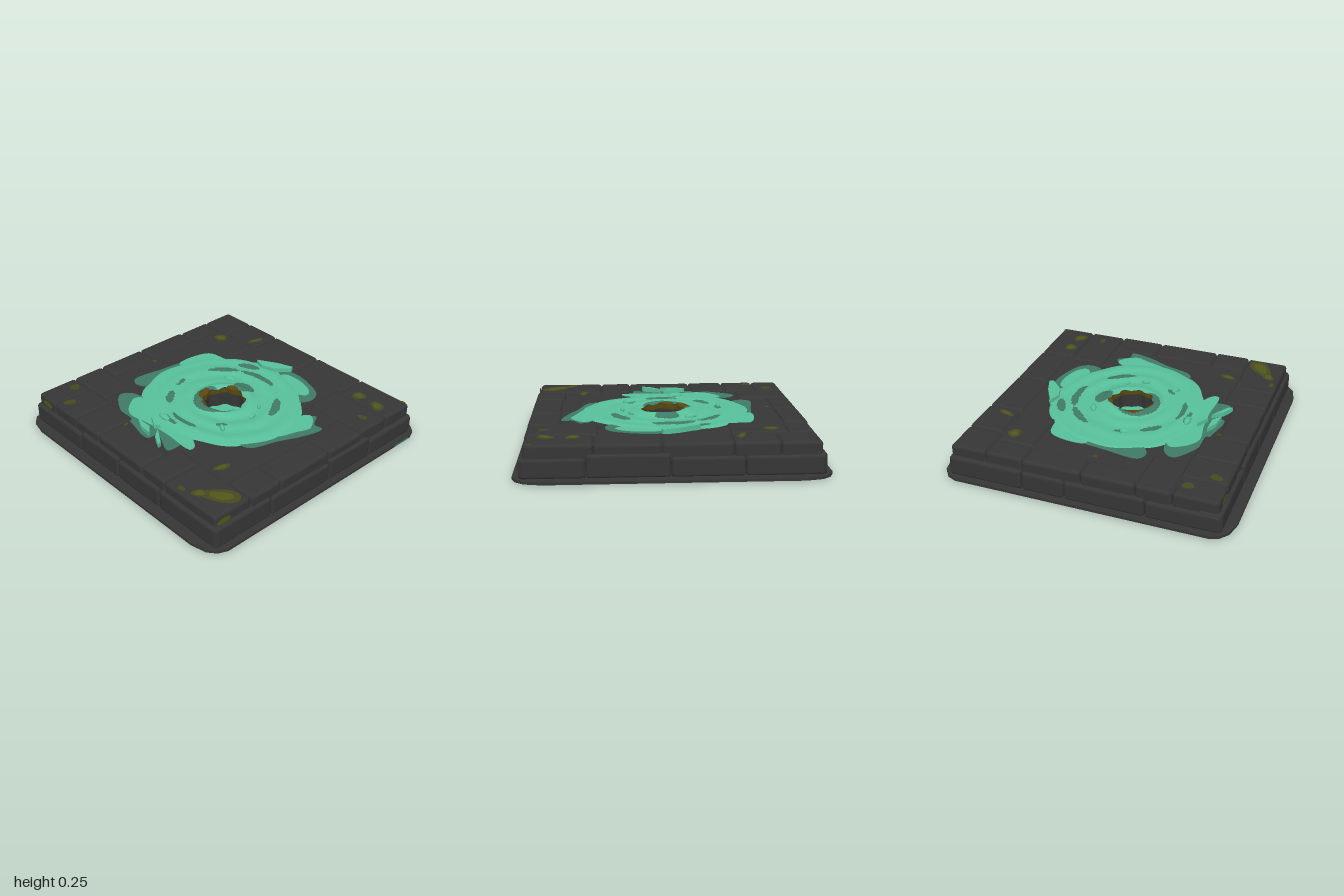
import * as THREE from 'three';
import { RoundedBoxGeometry } from 'three/addons/geometries/RoundedBoxGeometry.js';

export function createModel() {
  const root = new THREE.Group();
  const mat = (name, color) => {
    const m = new THREE.MeshStandardMaterial({ color, side: THREE.DoubleSide });
    m.name = name;
    return m;
  };
  const stone = mat('dark stone', 0x363637);
  const green = mat('bright green', 0x57c09a);
  const darkGreen = mat('dark green', 0x3f7a66);
  const moss = mat('moss olive', 0x474a1f);
  const lightMoss = mat('light moss', 0x52571c);
  const brown = mat('rust brown', 0x58480f);

  let seed = 7;
  const rnd = () => (seed = (seed * 16807) % 2147483647) / 2147483647;
  const add = (name, geo, m, x = 0, y = 0, z = 0) => {
    const mesh = new THREE.Mesh(geo, m);
    mesh.name = name;
    mesh.position.set(x, y, z);
    root.add(mesh);
    return mesh;
  };

  // Shapes are drawn in (x, z); the extrusion rises from y0 to y1
  const shapeOf = (pts) => new THREE.Shape(pts.map(([x, z]) => new THREE.Vector2(x, -z)));
  const slab = (name, shape, y0, y1, m) => {
    const g = new THREE.ExtrudeGeometry(shape, { depth: y1 - y0, bevelEnabled: false, curveSegments: 32 });
    return add(name, g.rotateX(-Math.PI / 2), m, 0, y0, 0);
  };
  // Rounds a few corner points into a soft closed outline
  const soft = (pts) => new THREE.CatmullRomCurve3(pts.map(([x, z]) => new THREE.Vector3(x, 0, z)), true, 'centripetal')
    .getPoints(60).slice(0, -1).map((p) => [p.x, p.z]);
  // Irregular oval outline, kept within the foot plate
  const blob = (cx, cz, rx, rz, turn = 0, wob = 0.1, n = 48) => {
    const out = [], p = rnd() * 6, keep = (v) => THREE.MathUtils.clamp(v, -0.98, 0.98);
    for (let i = 0; i < n; i++) {
      const a = (i / n) * Math.PI * 2;
      const k = 1 + wob * (Math.sin(2 * a + p) * 0.5 + Math.sin(3 * a + 2 * p) * 0.5);
      const x = Math.cos(a) * rx * k, z = Math.sin(a) * rz * k;
      out.push([keep(cx + x * Math.cos(turn) - z * Math.sin(turn)), keep(cz + x * Math.sin(turn) + z * Math.cos(turn))]);
    }
    return out;
  };
  const paint = (name, pts, y, m) => add(name, new THREE.ShapeGeometry(shapeOf(pts)).rotateX(-Math.PI / 2), m, 0, y, 0);

  // Thin foot plate with cut corners
  const corner = [[0.99, 0.86], [0.965, 0.92], [0.91, 0.965], [0.8, 0.99]];
  const outline = [
    ...corner, ...corner.map(([x, z]) => [-x, z]).reverse(),
    ...corner.map(([x, z]) => [-x, -z]), ...corner.map(([x, z]) => [x, -z]).reverse(),
  ];
  slab('footPlate', shapeOf(outline), 0.004, 0.022, stone);

  // Core with a round pit
  const core = shapeOf([[-0.9, -0.88], [0.9, -0.88], [0.9, 0.87], [-0.9, 0.87]]);
  core.holes.push(new THREE.Path().absarc(0.02, 0, 0.155, 0, Math.PI * 2, true));
  slab('core', core, 0.02, 0.217, stone);

  // Top paving stones: x0, x1, z0, z1
  const stones = [
    [-0.92, -0.66, -0.91, -0.66], [-0.66, -0.37, -0.91, -0.67], [-0.37, 0.07, -0.91, -0.66],
    [0.07, 0.49, -0.91, -0.68], [0.49, 0.92, -0.91, -0.66],
    [-0.92, -0.75, -0.66, -0.4], [-0.75, -0.38, -0.66, -0.4], [0.46, 0.92, -0.66, -0.4],
    [-0.93, -0.76, -0.4, 0.0], [-0.93, -0.76, 0.0, 0.36],
    [0.71, 0.93, -0.4, -0.08], [0.72, 0.93, -0.08, 0.36], [0.71, 0.93, 0.36, 0.61],
    [-0.93, -0.56, 0.36, 0.6], [-0.93, -0.73, 0.6, 0.9], [-0.73, -0.49, 0.59, 0.9],
    [-0.49, -0.23, 0.6, 0.9], [-0.23, 0.23, 0.68, 0.9], [0.23, 0.45, 0.6, 0.9], [0.45, 0.92, 0.61, 0.9],
  ];
  for (const [x0, x1, z0, z1] of stones) {
    const top = 0.229 + rnd() * 0.003, h = top - 0.1;
    add('pavingStone', new RoundedBoxGeometry(x1 - x0 - 0.004, h, z1 - z0 - 0.004, 3, 0.022), stone,
      (x0 + x1) / 2, top - h / 2, (z0 + z1) / 2);
  }

  // Lower course around the sides
  for (let side = 0; side < 4; side++) {
    const cuts = [-0.94, -0.5 + rnd() * 0.1, -0.12 + rnd() * 0.15, 0.4 + rnd() * 0.15, 0.94];
    const s = side % 2 ? -1 : 1, alongX = side < 2;
    for (let i = 0; i < 4; i++) {
      const len = cuts[i + 1] - cuts[i] - 0.004, mid = (cuts[i] + cuts[i + 1]) / 2;
      const h = 0.115 + rnd() * 0.045;
      const geo = new RoundedBoxGeometry(alongX ? len : 0.16, h, alongX ? 0.16 : len * 0.975, 3, 0.022);
      add('sideStone', geo, stone, alongX ? mid : s * 0.867, 0.015 + h / 2, alongX ? s * 0.843 : mid * 0.975);
    }
  }

  // Flat spill patches around the pool
  const spills = [
    [[0.02, -0.6], [0.12, -0.63], [0.3, -0.59], [0.39, -0.54], [0.42, -0.45], [0.36, -0.36], [0.1, -0.4]],
    [[0.5, -0.22], [0.58, -0.33], [0.64, -0.25], [0.71, -0.25], [0.68, -0.1], [0.61, 0.06], [0.53, 0.26], [0.4, 0.26]],
    [[-0.57, -0.15], [-0.61, 0.05], [-0.63, 0.28], [-0.56, 0.31], [-0.45, 0.2]],
    [[-0.5, 0.41], [-0.54, 0.48], [-0.4, 0.59], [-0.2, 0.64], [0.0, 0.67], [0.02, 0.6], [0.2, 0.66], [0.16, 0.45], [-0.3, 0.38]],
  ];
  spills.forEach((p) => slab('darkSpill', shapeOf(soft(p)), 0.212, 0.2205, darkGreen));
  const splashes = [
    [[0.05, -0.56], [0.2, -0.58], [0.34, -0.52], [0.35, -0.47], [0.1, -0.4]],
    [[0.48, -0.2], [0.55, -0.31], [0.65, -0.2], [0.62, -0.1], [0.56, 0.05], [0.45, 0.1]],
    [[-0.43, 0.42], [-0.4, 0.5], [-0.3, 0.58], [-0.12, 0.56], [0.05, 0.55], [0.29, 0.55], [0.29, 0.51], [0.1, 0.42], [-0.3, 0.36]],
    [[-0.55, -0.36], [-0.35, -0.41], [-0.14, -0.56], [-0.1, -0.4], [-0.4, -0.2], [-0.58, -0.1]],
  ];
  splashes.forEach((p) => slab('splash', shapeOf(soft(p)), 0.212, 0.222, green));
  // Raised splinters
  const splinters = [
    [[-0.2, -0.53], [-0.06, -0.61], [0.05, -0.65], [0.06, -0.62], [-0.03, -0.53], [-0.12, -0.5]],
    [[-0.18, 0.6], [-0.06, 0.6], [0.0, 0.65], [-0.1, 0.64]],
    [[0.0, 0.58], [0.13, 0.66], [0.14, 0.69], [0.06, 0.65]],
    [[-0.14, 0.52], [-0.02, 0.54], [-0.05, 0.57]],
  ];
  splinters.forEach((p) => slab('splinter', shapeOf(p), 0.215, 0.25, green));

  // Swirling pool: rings of points with a spiral ripple and a raised rim, lower towards +x
  const N = 180, M = 48, pos = [], idx = [[], [], []];
  const holeR = (a) => 0.143 + 0.008 * Math.cos(8 * a);
  for (let i = 0; i <= M; i++) {
    for (let j = 0; j < N; j++) {
      const a = (j / N) * Math.PI * 2, t = i / M;
      const R = 0.556 + 0.026 * Math.cos(2 * a) + 0.012 * Math.sin(3 * a + 1) + 0.005 * Math.sin(11 * a);
      const r = holeR(a) + (R - holeR(a)) * t;
      const low = 1 - 0.6 * Math.max(0, Math.cos(a)) ** 2;
      const rim = 0.023 * low * Math.exp(-(((r - 0.175) / 0.035) ** 2));
      const ripple = 0.004 * Math.sin(17 * t + a) * Math.min(1, t * 4) * (1 - t ** 6);
      const y = 0.2275 + rim + ripple - 0.01 * t ** 16;
      pos.push(0.02 - 0.03 * t + r * Math.cos(a), y, -0.015 * t + r * Math.sin(a));
    }
  }
  // Streaks: inner and outer radius, start and end angle in degrees from +x towards +z
  const rust = [[0.08, 0.172, 125, 182], [0.1, 0.165, 236, 270], [0.1, 0.162, 68, 118]];
  const dark = [
    [0, 0.205, 8, 205], [0.15, 0.265, 248, 292], [0.375, 0.425, 208, 240], [0.37, 0.425, 243, 286],
    [0.35, 0.41, 312, 345], [0.36, 0.4, 163, 178], [0.34, 0.395, 127, 150], [0.355, 0.395, 70, 106],
    [0.3, 0.335, 37, 51], [0.42, 0.45, 88, 106], [0.46, 0.52, 236, 256],
  ];
  const within = (list, r, deg) => list.some(([r0, r1, a0, a1]) => {
    const f = (deg - a0) / (a1 - a0);
    return f > 0 && f < 1 && Math.abs(r - (r0 + r1) / 2) < ((r1 - r0) / 2) * Math.sin(Math.PI * f) ** 0.35;
  });
  for (let i = 0; i < M; i++) {
    for (let j = 0; j < N; j++) {
      const k = (j + 1) % N, p = i * N + j, q = i * N + k, s = p + N, u = q + N;
      const x = (pos[3 * p] + pos[3 * u]) / 2, z = (pos[3 * p + 2] + pos[3 * u + 2]) / 2;
      const r = Math.hypot(x, z), deg = (THREE.MathUtils.radToDeg(Math.atan2(z, x)) + 360) % 360;
      idx[within(rust, r, deg) ? 2 : within(dark, r, deg) ? 1 : 0].push(p, q, s, q, u, s);
    }
  }
  const pool = new THREE.BufferGeometry();
  pool.setAttribute('position', new THREE.Float32BufferAttribute(pos, 3));
  pool.setIndex(idx.flat());
  let start = 0;
  idx.forEach((list, n) => {
    pool.addGroup(start, list.length, n);
    start += list.length;
  });
  pool.computeVertexNormals();
  add('swirlPool', pool, [green, darkGreen, brown]);

  // Scalloped wall of the pit, seen from inside
  const wall = (name, y0, y1, m) => {
    const g = new THREE.CylinderGeometry(1, 1, y1 - y0, 64, 1, true);
    const v = g.attributes.position;
    for (let i = 0; i < v.count; i++) {
      const a = Math.atan2(v.getZ(i), v.getX(i)), r = holeR(a);
      v.setXYZ(i, r * Math.cos(a), v.getY(i), r * Math.sin(a));
    }
    g.computeVertexNormals();
    add(name, g, m, 0.02, (y0 + y1) / 2, 0);
  };
  wall('pitRim', 0.2, 0.232, brown);
  wall('pitWall', 0.08, 0.2, stone);
  add('pitFloor', new THREE.CircleGeometry(0.153, 48).rotateX(-Math.PI / 2), green, 0.02, 0.1, 0);

  // Droplets frozen in the pool
  for (const [x, z, s, turn] of [[-0.16, -0.22, 0.045, -0.4], [0.24, -0.12, 0.025, 0.8], [0.3, 0, 0.03, 1.5],
    [0.26, 0.24, 0.035, 0.5], [-0.38, 0.09, 0.03, 1.4], [-0.1, 0.44, 0.05, 0]]) {
    const d = add('droplet', new THREE.SphereGeometry(1, 16, 8), green, x, 0.23, z);
    d.scale.set(s, 0.02, s * 0.45);
    d.rotation.y = -turn;
  }

  // Moss spots on the stones: x, z, half sizes, turn; larger ones have a lighter middle
  for (const [x, z, rx, rz, turn] of [[-0.65, -0.58, 0.05, 0.042, -0.6], [-0.435, -0.75, 0.06, 0.024, -1.2],
    [0.62, -0.73, 0.05, 0.04, -0.4], [0.79, -0.72, 0.055, 0.04, 0.7], [0.81, -0.54, 0.032, 0.022, 0],
    [0.58, 0.535, 0.055, 0.027, -1.3], [0.79, 0.73, 0.12, 0.065, -0.55], [0.68, 0.81, 0.05, 0.035, -0.5],
    [0.57, 0.86, 0.028, 0.018, 0], [-0.82, 0.67, 0.038, 0.03, 1], [-0.68, 0.81, 0.042, 0.03, -1],
    [-0.2, 0.69, 0.018, 0.012, 1.2], [-0.72, 0.02, 0.018, 0.014, 0], [0.88, -0.89, 0.02, 0.01, 0]]) {
    paint('mossSpot', blob(x, z, rx, rz, turn, 0.15), 0.2328, moss);
    if (rx >= 0.05) paint('mossMiddle', blob(x, z, rx * 0.6, rz * 0.6, turn, 0.15), 0.2338, lightMoss);
  }
  const sideMoss = (x, y, z, turn) => {
    const m = add('sideMoss', new THREE.CircleGeometry(1, 20), lightMoss, x, y, z);
    m.scale.set(0.055, 0.022, 1);
    m.rotation.y = turn;
  };
  sideMoss(-0.82, 0.188, 0.9015, 0);
  sideMoss(0.9295, 0.192, 0.84, Math.PI / 2);

  // Stains on the underside, with one reaching the plate edge
  const diag = -Math.PI / 4;
  paint('underStainEdge', blob(0.355, -0.32, 0.73, 0.56, diag, 0.02), 0.003, darkGreen);
  paint('underStain', blob(0.355, -0.32, 0.67, 0.5, diag, 0.02), 0.0024, green);
  paint('underStainTab', blob(0.87, -0.73, 0.1, 0.09, diag, 0.08), 0.0018, green);
  add('edgeStain', new THREE.BoxGeometry(0.004, 0.014, 0.15), darkGreen, 0.989, 0.012, -0.77);
  for (const s of [-1, 1])
    paint('underStainArc', blob(0.355 + s * 0.27, -0.32 + s * 0.27, 0.17, 0.03, diag, 0.1), 0.0016, darkGreen);
  paint('underPitEdge', blob(0.31, -0.26, 0.21, 0.2, diag, 0.08), 0.0016, darkGreen);
  paint('underPitStem', blob(0.53, -0.45, 0.26, 0.05, diag, 0.05), 0.0008, brown);
  paint('underPitStemEnd', blob(0.66, -0.57, 0.06, 0.085, diag, 0.1), 0.0004, brown);
  paint('underPit', blob(0.31, -0.26, 0.16, 0.16, diag, 0.1), 0, brown);
  for (const [x, z] of [[-0.61, 0.7], [0.91, 0.34], [-0.37, -0.9], [-0.55, 0.48]])
    paint('underMoss', blob(x, z, 0.045, 0.035), 0.002, moss);
  return root;
}
